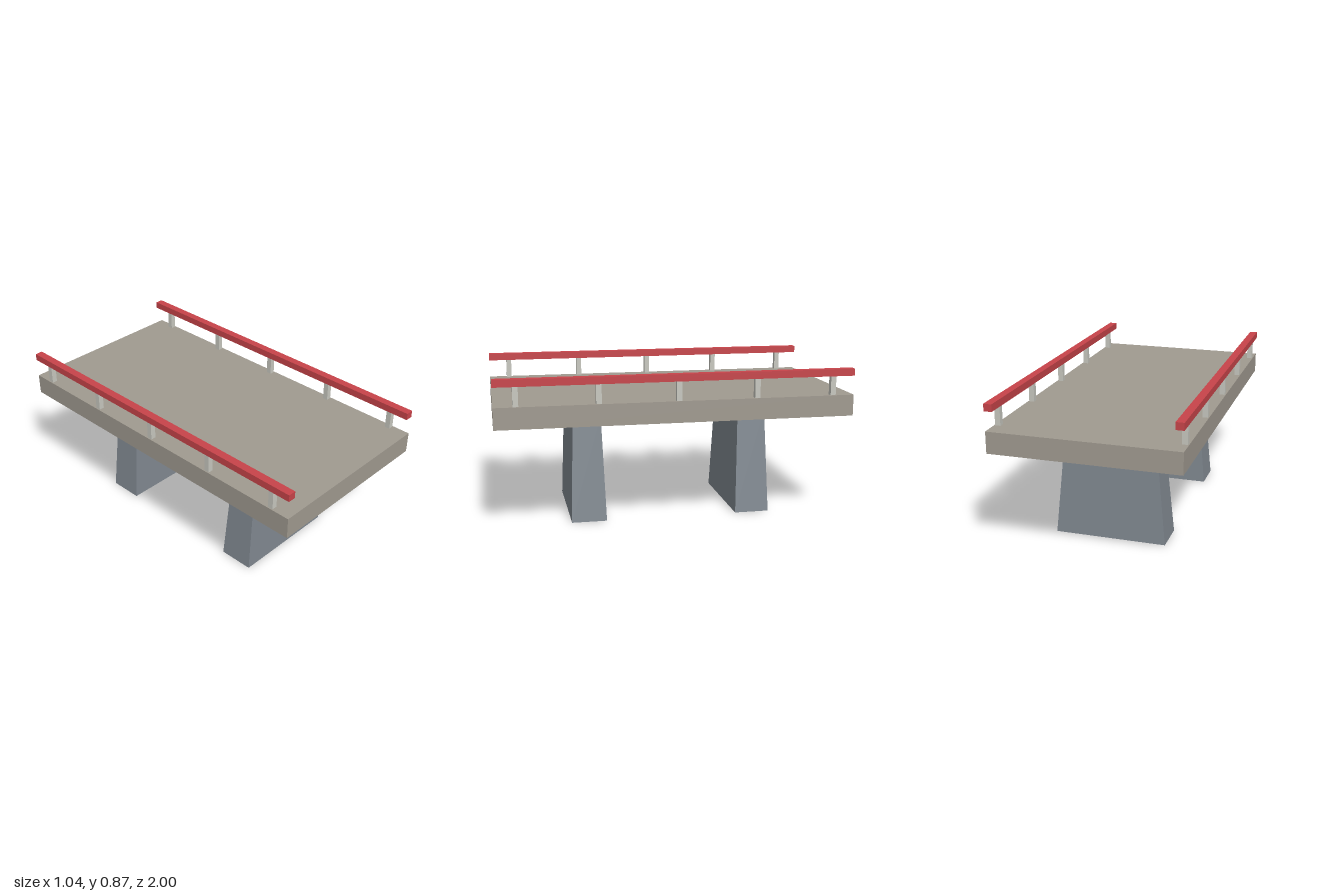
import * as THREE from 'three';

const material = (name, color) => {
  const m = new THREE.MeshStandardMaterial({ color });
  m.name = name;
  return m;
};

// Box that narrows towards the top, standing on y = 0
function taperedBox(bottomX, bottomZ, topX, topZ, height) {
  const geometry = new THREE.BoxGeometry(bottomX, height, bottomZ);
  geometry.translate(0, height / 2, 0);
  const p = geometry.attributes.position;
  for (let i = 0; i < p.count; i++) {
    if (p.getY(i) < height / 2) continue;
    p.setX(i, Math.sign(p.getX(i)) * topX / 2);
    p.setZ(i, Math.sign(p.getZ(i)) * topZ / 2);
  }
  geometry.computeVertexNormals();
  return geometry;
}

export function createModel() {
  const group = new THREE.Group();
  group.name = 'bridgeSection';

  const concrete = material('deck concrete', 0xa09a90);
  const stone = material('pier stone', 0x808890);
  const metal = material('post metal', 0xc8c8c0);
  const red = material('rail red', 0xc8444a);

  const add = (name, geometry, mat, x, y, z) => {
    const mesh = new THREE.Mesh(geometry, mat);
    mesh.name = name;
    mesh.position.set(x, y, z);
    group.add(mesh);
  };

  // Deck slab
  add('deck', new THREE.BoxGeometry(1.04, 0.12, 2), concrete, 0, 0.66, 0);

  // Two tapered piers
  const pier = taperedBox(0.636, 0.2, 0.52, 0.16, 0.6);
  for (const z of [0.48, -0.48]) add(z > 0 ? 'frontPier' : 'backPier', pier, stone, 0, 0, z);

  // Railings: five posts and a handrail on each side
  const post = new THREE.BoxGeometry(0.03, 0.11, 0.03);
  const rail = new THREE.BoxGeometry(0.045, 0.04, 2);
  for (const side of [1, -1]) {
    const label = side > 0 ? 'left' : 'right';
    add(label + 'Rail', rail, red, side * 0.499, 0.848, 0);
    for (let i = 0; i < 5; i++) {
      add(`${label}Post${i + 1}`, post, metal, side * 0.499, 0.775, 0.88 - i * 0.44);
    }
  }

  return group;
}
